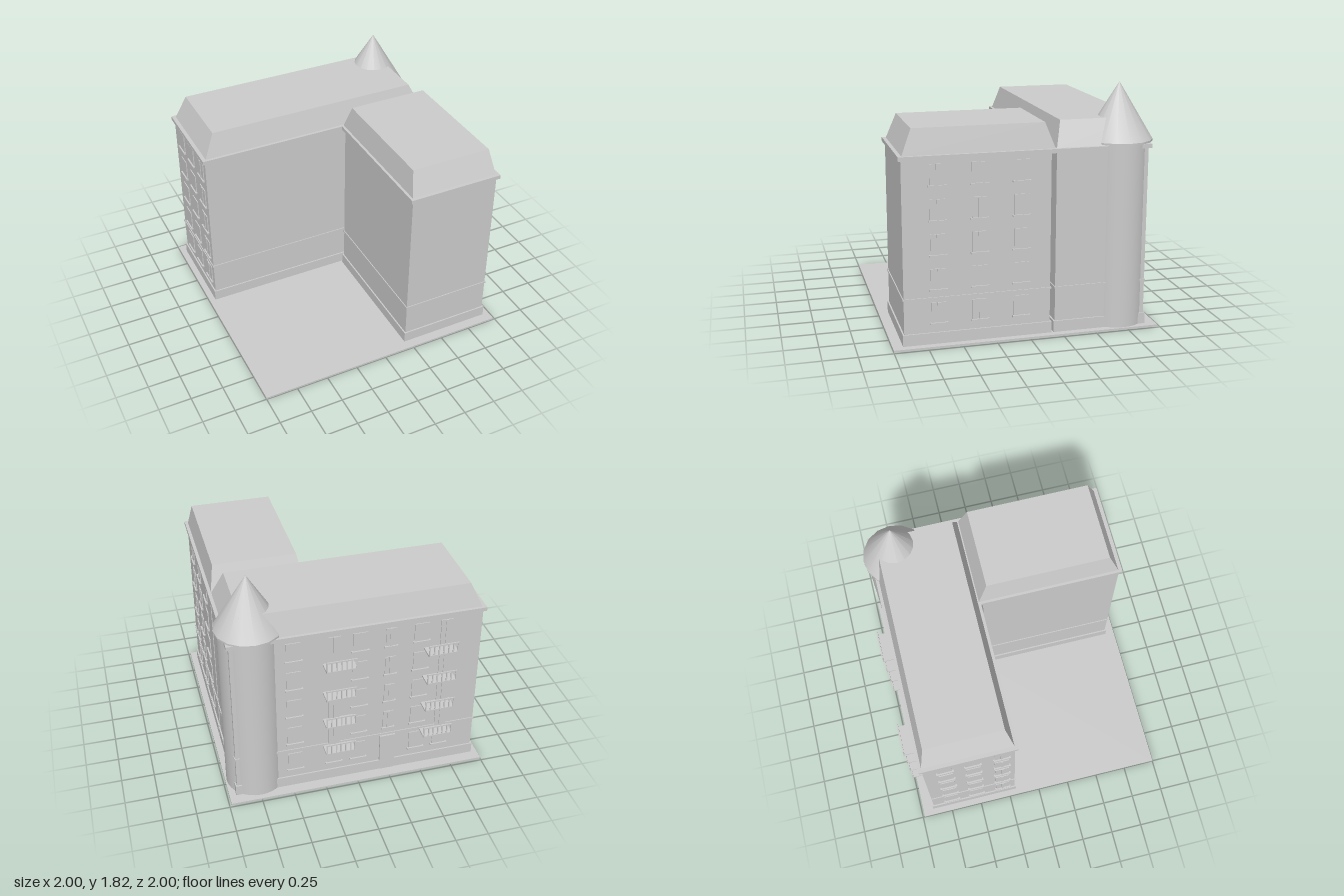
import * as THREE from 'three';

export function createModel() {
  const model = new THREE.Group();
  const stone = new THREE.MeshStandardMaterial({ color: 0xcccccc });
  stone.name = 'pale stone';

  const add = (name, geometry, parent = model) => {
    const mesh = new THREE.Mesh(geometry, stone);
    mesh.name = name;
    parent.add(mesh);
    return mesh;
  };
  const group = (name, parent = model) => {
    const g = new THREE.Group();
    g.name = name;
    parent.add(g);
    return g;
  };
  // Box given by its limits on each axis
  const box = (name, x0, x1, y0, y1, z0, z1, parent) => {
    const mesh = add(name, new THREE.BoxGeometry(x1 - x0, y1 - y0, z1 - z0), parent);
    mesh.position.set((x0 + x1) / 2, (y0 + y1) / 2, (z0 + z1) / 2);
    return mesh;
  };

  // Truncated hip roof: a box whose upper corners move to a smaller rectangle
  const roof = (base, top, y0, y1, parent) => {
    const geo = new THREE.BoxGeometry(1, 1, 1);
    const p = geo.attributes.position;
    for (let i = 0; i < p.count; i++) {
      const up = p.getY(i) > 0;
      const r = up ? top : base;
      p.setXYZ(i, p.getX(i) < 0 ? r[0] : r[1], up ? y1 : y0, p.getZ(i) < 0 ? r[2] : r[3]);
    }
    geo.computeVertexNormals();
    add('roof', geo, parent);
  };

  // One building wing: walls, plinth, string course, eaves and roof
  const wing = (name, [x0, x1, z0, z1], base, top) => {
    const g = group(name);
    const ring = (part, out, y0, y1) =>
      box(part, x0 - out, x1 + out, y0, y1, z0 - out, z1 + out, g);
    ring('walls', 0, 0.015, 1.36);
    ring('plinth', 0.011, 0.015, 0.1);
    ring('stringCourse', 0.007, 0.349, 0.363);
    ring('eaves', 0.02, 1.357, 1.387);
    roof(base, top, 1.387, 1.572, g);
  };

  box('groundPlate', -1, 0.984, 0, 0.015, -0.984, 1);
  wing('mainWing', [-0.942, 0.922, -0.891, -0.198],
    [-0.932, 0.916, -0.888, -0.2], [-0.848, 0.827, -0.846, -0.249]);
  wing('sideWing', [0.218, 0.922, -0.16, 0.914],
    [0.218, 0.917, -0.19, 0.906], [0.254, 0.885, -0.12, 0.833]);

  // Round corner tower with a conical roof
  const tower = group('cornerTower');
  const TX = 0.748, TZ = -0.72;
  add('towerWall', new THREE.CylinderGeometry(0.225, 0.225, 1.385, 32), tower)
    .position.set(TX, 0.7075, TZ);
  add('towerRim', new THREE.CylinderGeometry(0.25, 0.25, 0.014, 16), tower)
    .position.set(TX, 1.4, TZ);
  add('towerRoof', new THREE.ConeGeometry(0.25, 0.413, 16), tower)
    .position.set(TX, 1.6135, TZ);

  // Window facing local +z, origin on the wall at sill level
  const floors = [0.168, 0.418, 0.67, 0.92, 1.17];
  const makeWindow = (parent, x, y, width, height, mullion, sill = true) => {
    const w = group('window', parent);
    w.position.set(x, y, 0);
    box('casement', -width / 2, width / 2, 0, height, 0, 0.007, w);
    if (mullion) box('mullion', -0.009, 0.009, 0, height, 0.007, 0.012, w);
    if (sill) box('sill', -width / 2 - 0.011, width / 2 + 0.011, -0.007, 0.006, 0, 0.018, w);
  };
  const facade = (name, x, z, turn) => {
    const f = group(name);
    f.position.set(x, 0, z);
    f.rotation.y = turn;
    return f;
  };

  // Flank windows
  const leftFace = facade('leftWindows', 0.922, 0, Math.PI / 2);
  const rightFace = facade('rightWindows', -0.942, 0, -Math.PI / 2);
  for (const y of floors) {
    [0.663, 0.363, 0.058].forEach((z, i) => makeWindow(leftFace, -z, y, 0.11, 0.155, i < 2));
    [-0.73, -0.52, -0.3].forEach((z, i) => makeWindow(rightFace, z, y, 0.11, 0.155, i === 2));
  }

  // Rear windows, balcony doors and entrance (local x is reversed)
  const rear = facade('rearWindows', 0, -0.891, Math.PI);
  floors.forEach((y, level) => {
    for (const x of [0.47, -0.02, -0.25, -0.48]) {
      if (level === 0 && x === -0.25) continue;
      makeWindow(rear, -x, y, x === -0.25 ? 0.08 : 0.11, 0.155, x === -0.25);
    }
    for (const x of [0.17, -0.67]) {
      if (level === 0) makeWindow(rear, -x, y, 0.11, 0.155, false);
      else makeWindow(rear, -x, y - 0.07, 0.09, 0.225, true, false);
    }
  });
  box('entranceDoor', 0.19, 0.31, 0.015, 0.34, 0, 0.014, rear);

  // Balconies with a front railing
  for (const x0 of [0.03, -0.73]) {
    for (const y of [0.336, 0.588, 0.84, 1.092]) {
      const b = group('balcony');
      const x1 = x0 + 0.226;
      box('balconyFloor', x0, x1, y, y + 0.012, -1, -0.89, b);
      box('handrail', x0, x1, y + 0.083, y + 0.093, -1, -0.991, b);
      for (let i = 0; i < 7; i++) {
        const x = x0 + (i * (0.226 - 0.009)) / 6;
        box('baluster', x, x + 0.009, y + 0.012, y + 0.083, -0.999, -0.992, b);
      }
    }
  }
  return model;
}
